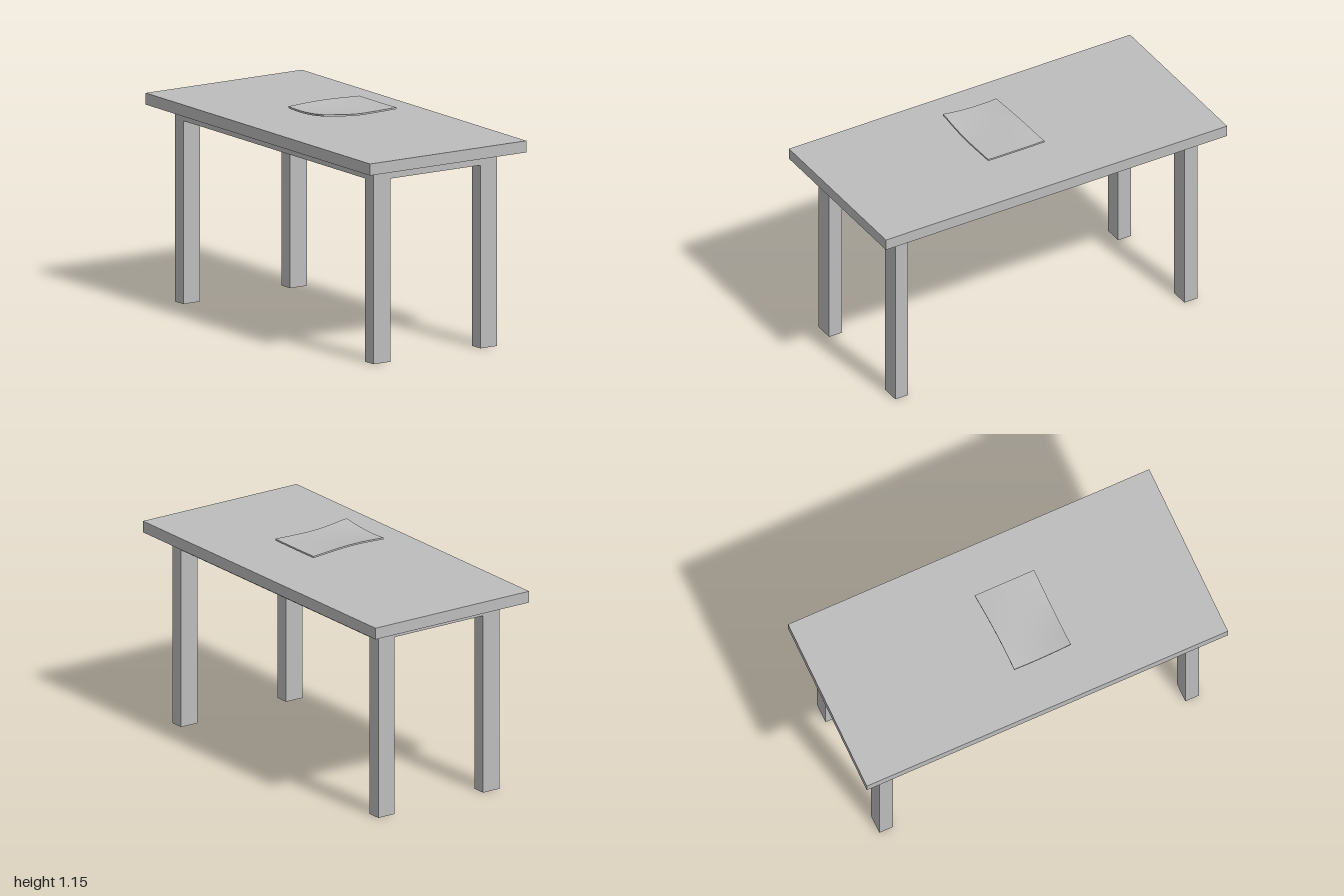
import * as THREE from 'three';

const grey = new THREE.MeshStandardMaterial({ color: 0xbcbcbc });
grey.name = 'plain grey';

// Box given by its size, its centre in x and z, and its bottom height
function box(name, w, h, d, x, bottom, z) {
  const mesh = new THREE.Mesh(new THREE.BoxGeometry(w, h, d), grey);
  mesh.name = name;
  mesh.position.set(x, bottom + h / 2, z);
  return mesh;
}

// Thin curled sheet: three height profiles along x, blended from back to front
function curledSheet() {
  const x0 = -0.24, x1 = 0.205, thickness = 0.009;
  const profile = (heights) => new THREE.SplineCurve(
    heights.map((y, i) => new THREE.Vector2(i / (heights.length - 1), y)));
  const back = profile([1.138, 1.143, 1.144, 1.140, 1.134]);
  const middle = profile([1.136, 1.132, 1.131, 1.132, 1.133]);
  const front = profile([1.152, 1.138, 1.130, 1.131, 1.134]);

  const geo = new THREE.BoxGeometry(1, 1, 1, 12, 1, 10);
  const p = geo.attributes.position;
  for (let i = 0; i < p.count; i++) {
    const u = p.getX(i) + 0.5, v = p.getZ(i) + 0.5;
    const [b, m, f] = [back, middle, front].map((c) => c.getPoint(u).y);
    // Quadratic through the back, middle and front heights
    const top = b * (1 - v) * (1 - 2 * v) + m * 4 * v * (1 - v) + f * v * (2 * v - 1);
    const zBack = -0.075 - 0.016 * u * u;
    const z = THREE.MathUtils.lerp(zBack, 0.238, v);
    p.setXYZ(i, THREE.MathUtils.lerp(x0, x1, u), p.getY(i) > 0 ? top : top - thickness, z);
  }
  geo.computeVertexNormals();
  const mesh = new THREE.Mesh(geo, grey);
  mesh.name = 'curledSheet';
  return mesh;
}

export function createModel() {
  const table = new THREE.Group();
  table.name = 'table';

  // Top board and the slab beneath it, flush with the legs
  table.add(box('tableTop', 0.954, 0.06, 2, 0, 1.007, 0));
  table.add(box('apronSlab', 0.754, 0.062, 1.77, 0, 0.945, 0));

  // Four legs
  for (const sx of [-1, 1]) {
    for (const sz of [-1, 1]) {
      const name = (sz > 0 ? 'front' : 'back') + (sx > 0 ? 'Left' : 'Right') + 'Leg';
      table.add(box(name, 0.102, 0.945, 0.075, sx * 0.326, 0, sz * 0.8475));
    }
  }

  // Sheet hovering just above the top
  table.add(curledSheet());
  return table;
}
